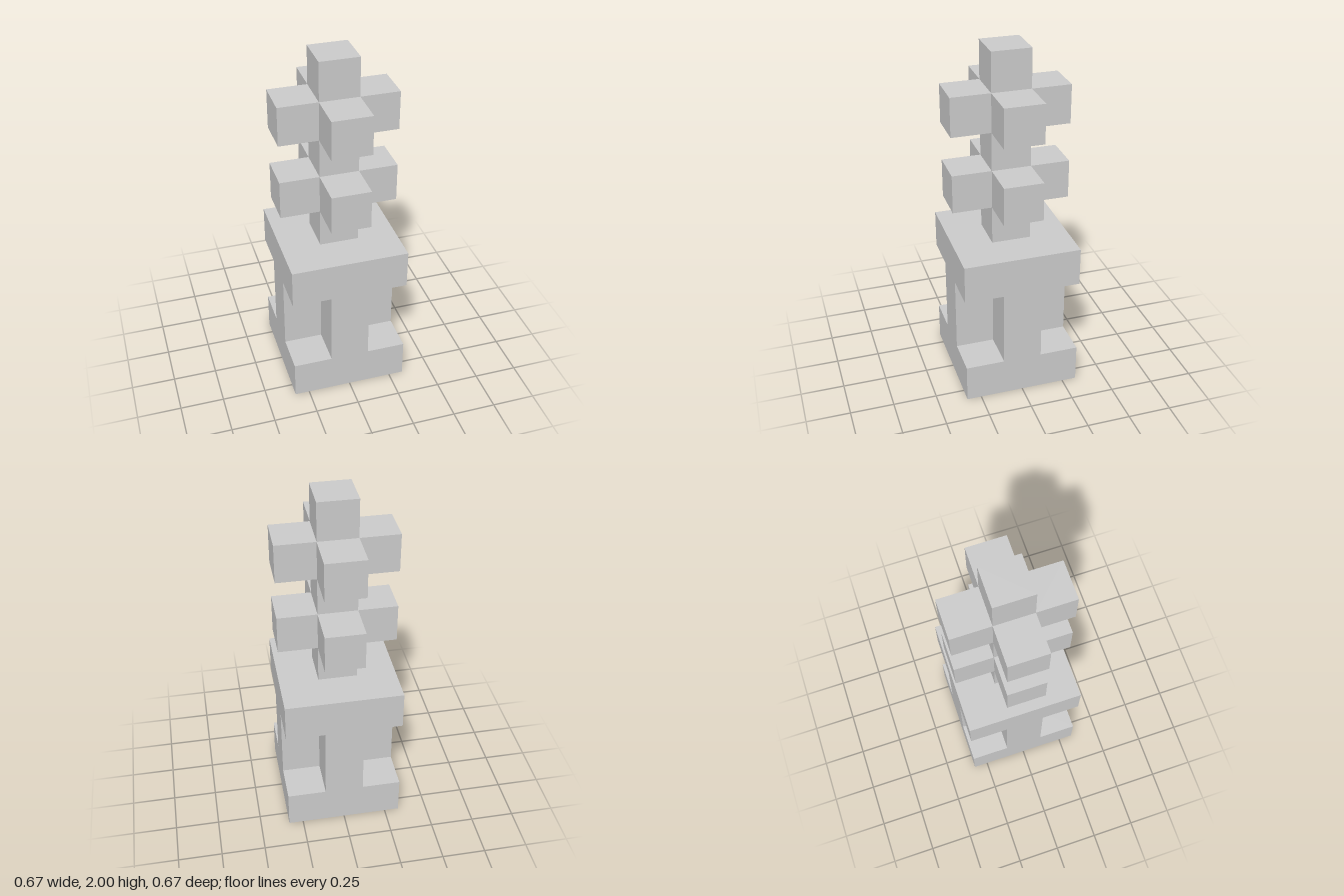
import * as THREE from 'three';

const U = 2 / 9; // the whole tower sits on a cubic grid of this size

export function createModel() {
  const group = new THREE.Group();
  const material = new THREE.MeshStandardMaterial({ color: 0xcccccc, flatShading: true });

  const add = (name, geometry, y) => {
    const mesh = new THREE.Mesh(geometry, material);
    mesh.name = name;
    mesh.position.y = y * U;
    group.add(mesh);
  };

  // Square block standing on grid level y
  const block = (name, width, y) =>
    add(name, new THREE.BoxGeometry(width * U, U, width * U), y + 0.5);

  // Plus-shaped prism standing on grid level y
  const a = U / 2, b = 1.5 * U;
  const plus = new THREE.Shape([
    [a, -b], [a, -a], [b, -a], [b, a], [a, a], [a, b],
    [-a, b], [-a, a], [-b, a], [-b, -a], [-a, -a], [-a, -b],
  ].map(([x, z]) => new THREE.Vector2(x, z)));
  const cross = (name, height, y) => {
    const geometry = new THREE.ExtrudeGeometry(plus, { depth: height * U, bevelEnabled: false });
    add(name, geometry.rotateX(-Math.PI / 2), y);
  };

  // Pedestal: two slabs joined by a cross-shaped core with notched corners
  block('baseSlab', 3, 0);
  cross('pedestalCore', 2, 1);
  block('upperSlab', 3, 3);

  // Spire: alternating posts and crosses, ending in a single block
  block('lowerPost', 1, 4);
  cross('lowerCross', 1, 5);
  block('middlePost', 1, 6);
  cross('upperCross', 1, 7);
  block('topBlock', 1, 8);

  return group;
}
